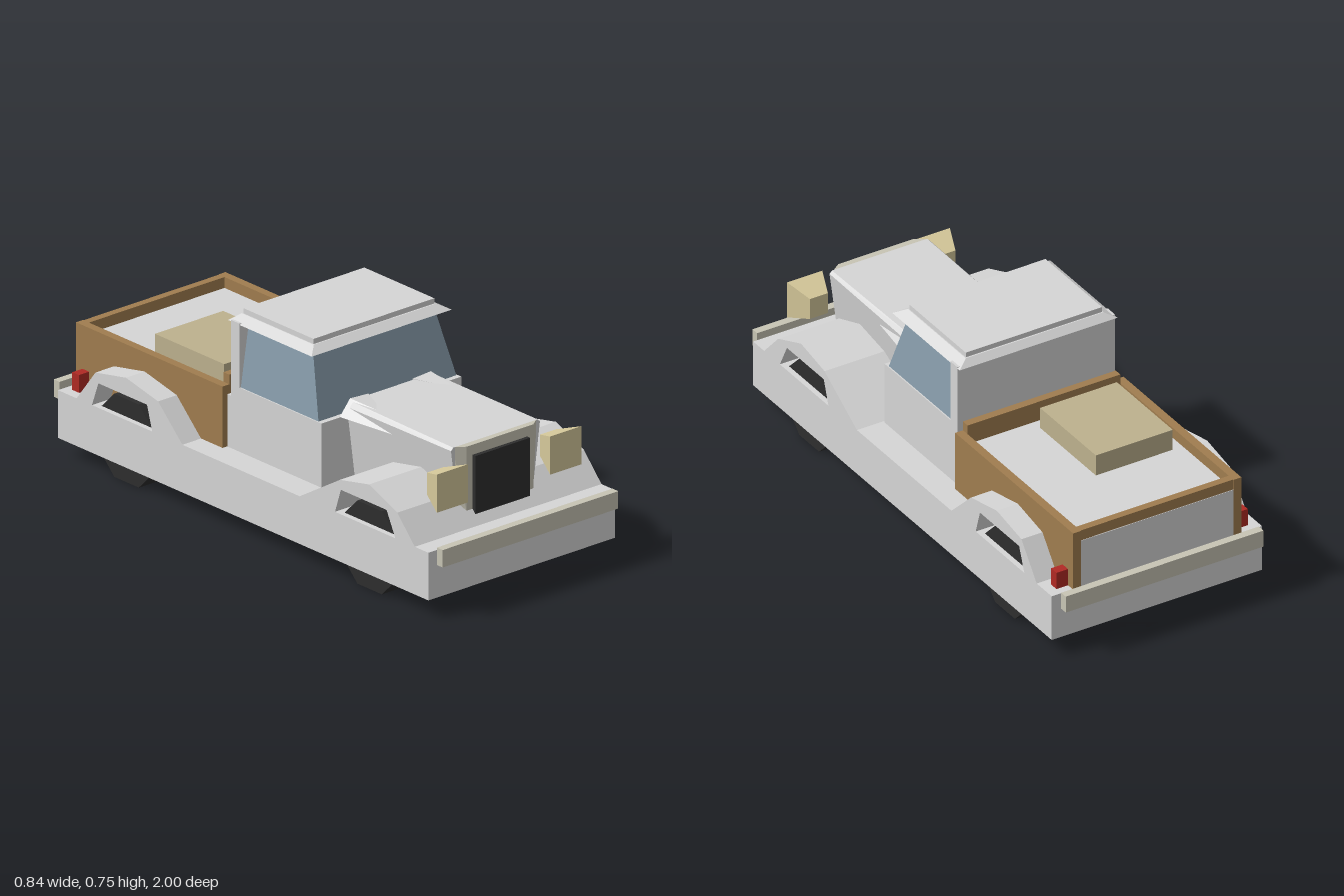
import * as THREE from 'three';
import { ConvexGeometry } from 'three/addons/geometries/ConvexGeometry.js';

const paint = (name, color) => {
  const m = new THREE.MeshStandardMaterial({ color, flatShading: true });
  m.name = name;
  return m;
};

export function createModel() {
  const model = new THREE.Group();
  model.name = 'pickupTruck';
  const grey = paint('bodyGrey', 0xd6d6d6);
  const trim = paint('trimGrey', 0xc8c5b5);
  const wood = paint('wood', 0xa07d4f);
  const glass = paint('glass', 0x869bA9);
  const black = paint('black', 0x2e2e2e);
  const cream = paint('lampCream', 0xd6c99b);
  const tan = paint('crateTan', 0xbdb18e);
  const red = paint('tailRed', 0xb02a24);

  const add = (name, geometry, material) => {
    const mesh = new THREE.Mesh(geometry, material);
    mesh.name = name;
    model.add(mesh);
    return mesh;
  };
  // Box given by its limits on each axis
  const box = (name, mat, [x0, x1], [y0, y1], [z0, z1]) =>
    add(name, new THREE.BoxGeometry(x1 - x0, y1 - y0, z1 - z0)
      .translate((x0 + x1) / 2, (y0 + y1) / 2, (z0 + z1) / 2), mat);
  // Side profile of [z, y] points extruded across the width
  const profile = (name, mat, points, width, hole) => {
    const v = (list) => list.map(([z, y]) => new THREE.Vector2(z, y));
    const shape = new THREE.Shape(v(points));
    if (hole) shape.holes.push(new THREE.Path(v(hole)));
    const g = new THREE.ExtrudeGeometry(shape, { depth: width, bevelEnabled: false });
    return add(name, g.translate(0, 0, -width / 2).rotateY(-Math.PI / 2), mat);
  };
  const hull = (name, mat, points) =>
    add(name, new ConvexGeometry(points.map((p) => new THREE.Vector3(...p))), mat);
  const mirrored = (points, s) => points.map(([x, y, z]) => [x * s, y, z]);
  const bothSides = (points) => [...points, ...mirrored(points, -1)];

  // Chassis and bumpers
  box('chassis', grey, [-0.42, 0.42], [0.065, 0.24], [-0.95, 0.955]);
  box('frontBumper', trim, [-0.395, 0.395], [0.193, 0.257], [0.97, 1]);
  box('rearBumper', trim, [-0.395, 0.395], [0.193, 0.257], [-1, -0.97]);

  // Full-width eight-sided wheels
  for (const [name, z] of [['frontWheels', 0.63], ['rearWheels', -0.62]]) {
    const r = 0.1525 / Math.cos(Math.PI / 8);
    add(name, new THREE.CylinderGeometry(r, r, 0.8, 8).rotateY(Math.PI / 8)
      .rotateZ(Math.PI / 2).translate(0, 0.1525, z), black);
  }

  // Arched fenders with wheel openings
  profile('frontFenders', grey,
    [[0.89, 0.235], [0.795, 0.337], [0.65, 0.395], [0.5, 0.365], [0.285, 0.235]], 0.84,
    [[0.785, 0.24], [0.74, 0.33], [0.505, 0.33], [0.475, 0.24]]);
  profile('rearFenders', grey,
    [[-0.305, 0.235], [-0.435, 0.36], [-0.6, 0.395], [-0.757, 0.365], [-0.858, 0.235]], 0.84,
    [[-0.465, 0.24], [-0.492, 0.33], [-0.742, 0.33], [-0.775, 0.24]]);

  // Hood, wider at the top, with flared cowl wedges
  hull('hood', grey, bothSides([
    [0.165, 0.24, 0.285], [0.2, 0.505, 0.285], [0.185, 0.523, 0.285],
    [0.17, 0.285, 0.82], [0.2, 0.51, 0.82], [0.19, 0.52, 0.82],
  ]));
  for (const s of [1, -1]) {
    hull(s > 0 ? 'leftCowl' : 'rightCowl', grey, mirrored([
      [0.182, 0.53, 0.28], [0.228, 0.474, 0.28], [0.1, 0.47, 0.28],
      [0.1, 0.525, 0.28], [0.165, 0.52, 0.44], [0.195, 0.474, 0.515],
    ], s));
  }

  // Grille
  hull('grilleSurround', trim, bothSides([
    [0.17, 0.285, 0.815], [0.19, 0.52, 0.815],
    [0.15, 0.283, 0.843], [0.15, 0.52, 0.843],
  ]));
  box('grille', black, [-0.123, 0.123], [0.27, 0.483], [0.82, 0.858]);

  // Headlights flaring forward, and tail lights
  for (const s of [1, -1]) {
    const side = s > 0 ? 'left' : 'right';
    const corners = [];
    for (const [z, hw, hh] of [[0.89, 0.07, 0.07], [0.8, 0.036, 0.04]])
      for (const a of [-1, 1]) for (const b of [-1, 1])
        corners.push([0.255 + a * hw, 0.41 + b * hh, z]);
    hull(side + 'Headlight', cream, mirrored(corners, s));
    box(side + 'TailLight', red, s > 0 ? [0.33, 0.382] : [-0.382, -0.33], [0.235, 0.305], [-0.92, -0.885]);
  }

  // Cab: lower body with back wall, windows and roof
  profile('cabBody', grey, [[0.285, 0.235], [0.285, 0.475], [-0.135, 0.475], [-0.135, 0.71],
    [-0.18, 0.71], [-0.18, 0.432], [-0.198, 0.432], [-0.198, 0.235]], 0.63);
  hull('windows', glass, bothSides([
    [0.311, 0.47, 0.266], [0.311, 0.47, -0.14], [0.273, 0.71, 0.193], [0.273, 0.71, -0.14],
  ]));
  hull('roofVisor', grey, bothSides([
    [0.315, 0.705, 0.235], [0.315, 0.705, -0.195], [0.275, 0.727, 0.2], [0.275, 0.727, -0.17],
  ]));
  box('roofTop', grey, [-0.272, 0.272], [0.72, 0.746], [-0.165, 0.195]);

  // Load bed with wooden boards and a crate
  box('bedFloor', grey, [-0.31, 0.31], [0.24, 0.425], [-0.952, -0.205]);
  for (const s of [1, -1])
    box(s > 0 ? 'leftBoard' : 'rightBoard', wood, s > 0 ? [0.305, 0.336] : [-0.336, -0.305], [0.24, 0.465], [-0.953, -0.2]);
  box('frontBoard', wood, [-0.305, 0.305], [0.4, 0.5], [-0.23, -0.2]);
  box('tailgate', wood, [-0.305, 0.305], [0.3, 0.465], [-0.95, -0.922]);
  box('crate', tan, [-0.265, 0.042], [0.42, 0.505], [-0.628, -0.272]);

  return model;
}
